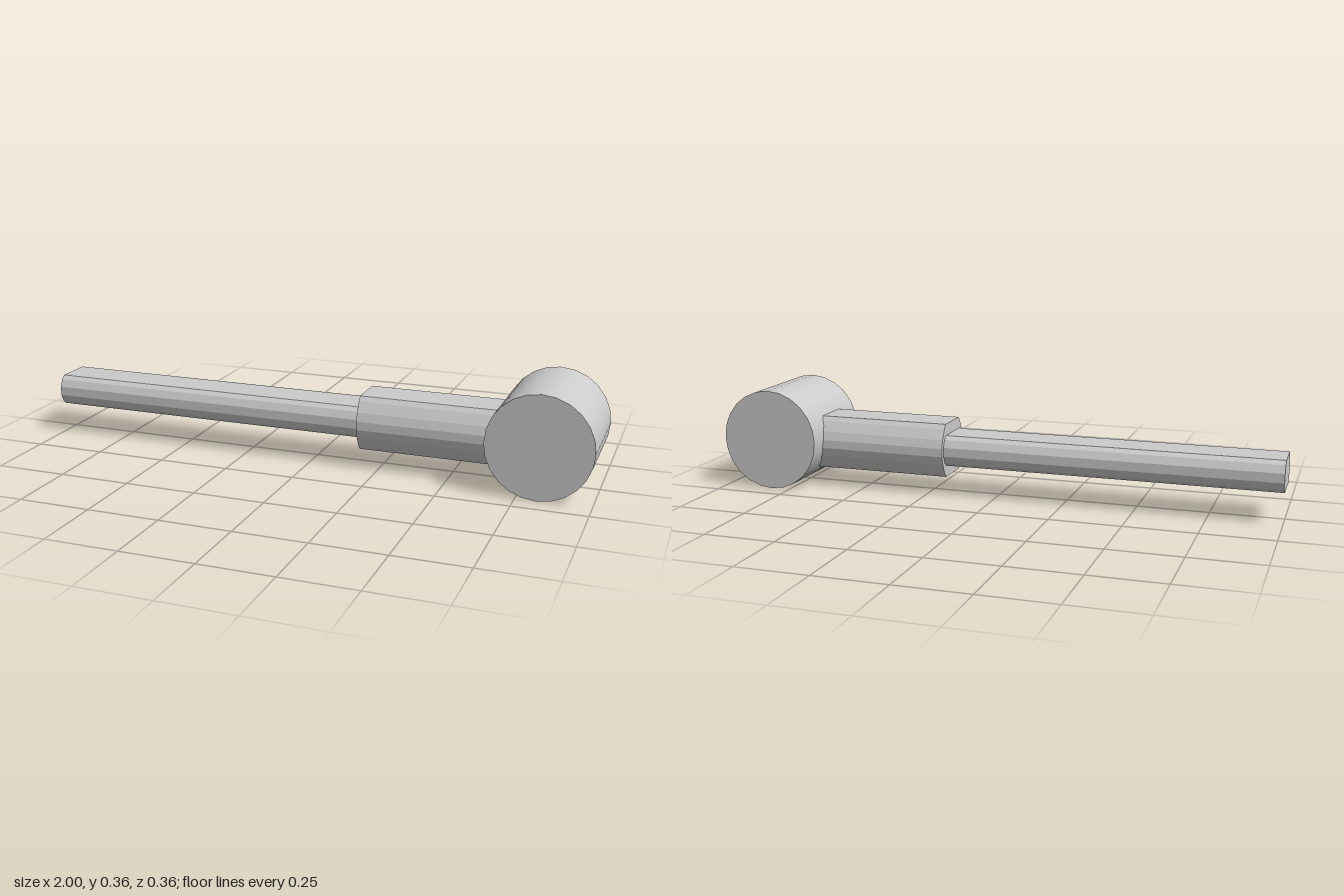
import * as THREE from 'three';

const AXIS_Y = 0.162;

// Bar along x with flat top and bottom and faceted, rounded sides.
// quarter: [z, y] corners from the top flat down to the widest point.
function bar(name, quarter, x0, x1, material) {
  const down = [...quarter].reverse();
  const pts = [
    ...quarter.map(([z, y]) => new THREE.Vector2(z, y)),
    ...down.map(([z, y]) => new THREE.Vector2(z, -y)),
    ...quarter.map(([z, y]) => new THREE.Vector2(-z, -y)),
    ...down.map(([z, y]) => new THREE.Vector2(-z, y)),
  ];
  const geo = new THREE.ExtrudeGeometry(new THREE.Shape(pts), { depth: x1 - x0, bevelEnabled: false });
  geo.rotateY(Math.PI / 2);
  const mesh = new THREE.Mesh(geo, material);
  mesh.position.set(x0, AXIS_Y, 0);
  mesh.name = name;
  return mesh;
}

export function createModel() {
  const group = new THREE.Group();
  group.name = 'hammer';
  const smooth = new THREE.MeshStandardMaterial({ color: 0xcccccc });
  const flat = new THREE.MeshStandardMaterial({ color: 0xcccccc, flatShading: true });

  // Long slim handle
  group.add(bar('handle', [[0.065, 0.055], [0.08, 0.042], [0.092, 0.016]], -1, 0.2, flat));

  // Thicker sleeve running into the head
  group.add(bar('sleeve', [[0.067, 0.096], [0.08, 0.08], [0.099, 0.045], [0.108, 0.015]], 0.18, 0.8, flat));

  // Round head lying across the handle
  const head = new THREE.Mesh(new THREE.CylinderGeometry(0.18, 0.18, 0.36, 24), smooth);
  head.rotation.x = Math.PI / 2;
  head.position.set(0.82, 0.18, 0);
  head.name = 'head';
  group.add(head);

  return group;
}
